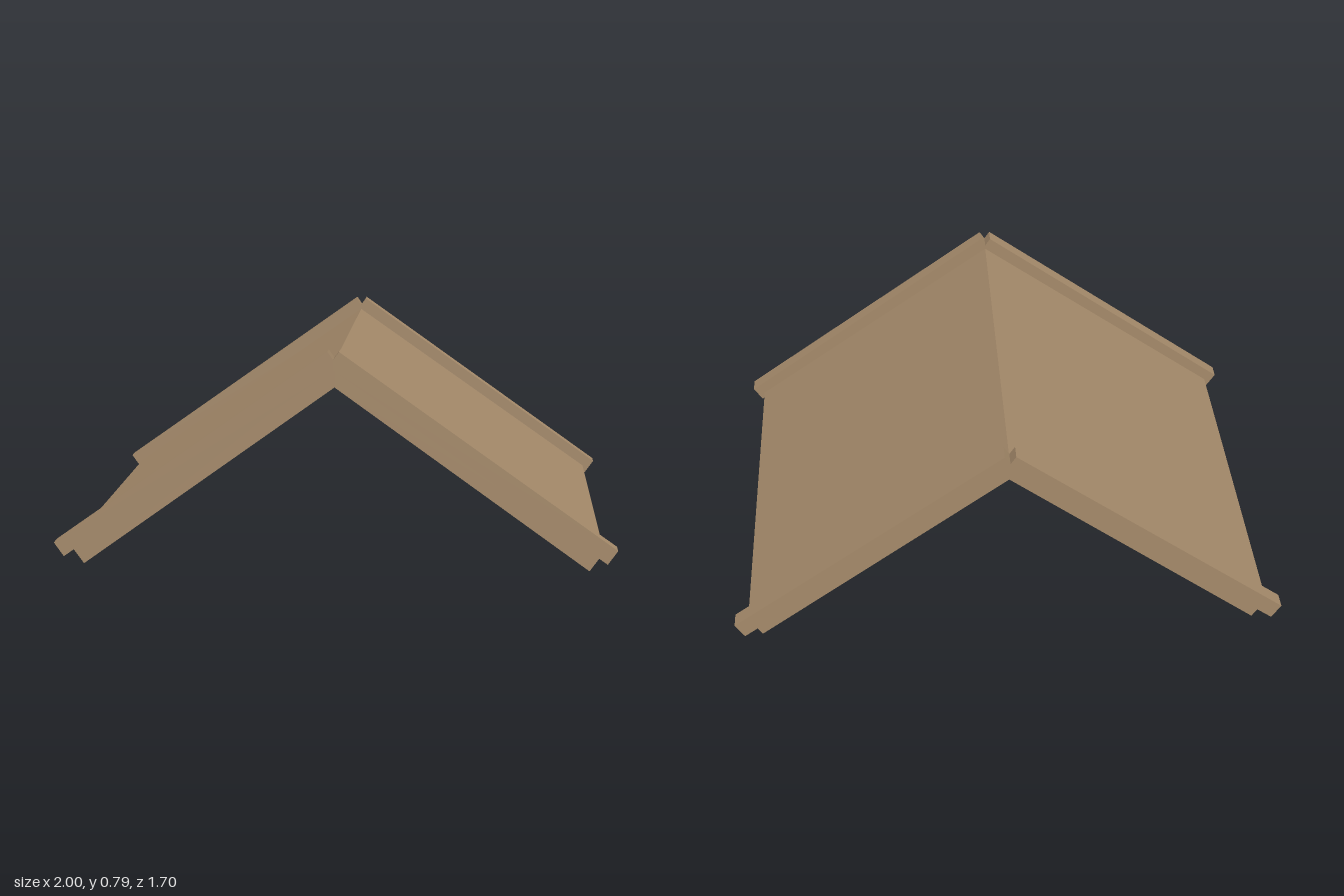
import * as THREE from 'three';

// Right half of each gable-shaped section; mirrored across x = 0
const SLAB = [[0, 0.74], [0.955, 0.07], [0.905, 0], [0, 0.65]];
const BOARD = [[0, 0.756], [0.02, 0.785], [1.0, 0.09], [0.965, 0.04], [0, 0.72]];

function gable(half, z0, z1) {
  const mirrored = half.slice(1, -1).reverse().map(([x, y]) => [-x, y]);
  const points = [...half, ...mirrored].map(([x, y]) => new THREE.Vector2(x, y));
  const geometry = new THREE.ExtrudeGeometry(new THREE.Shape(points), { depth: z1 - z0, bevelEnabled: false });
  return geometry.translate(0, 0, z0);
}

export function createModel() {
  const wood = new THREE.MeshStandardMaterial({ color: 0xa68b6b });
  wood.name = 'wood';
  const roof = new THREE.Group();
  roof.name = 'gableRoof';

  const add = (name, half, z0, z1) => {
    const mesh = new THREE.Mesh(gable(half, z0, z1), wood);
    mesh.name = name;
    roof.add(mesh);
  };

  // Two sloping panels meeting at the ridge
  add('roofPanels', SLAB, -0.787, 0.787);
  // Raised trim along both gable ends, notched at the peak
  add('frontBargeboard', BOARD, 0.783, 0.848);
  add('backBargeboard', BOARD, -0.848, -0.783);

  return roof;
}
